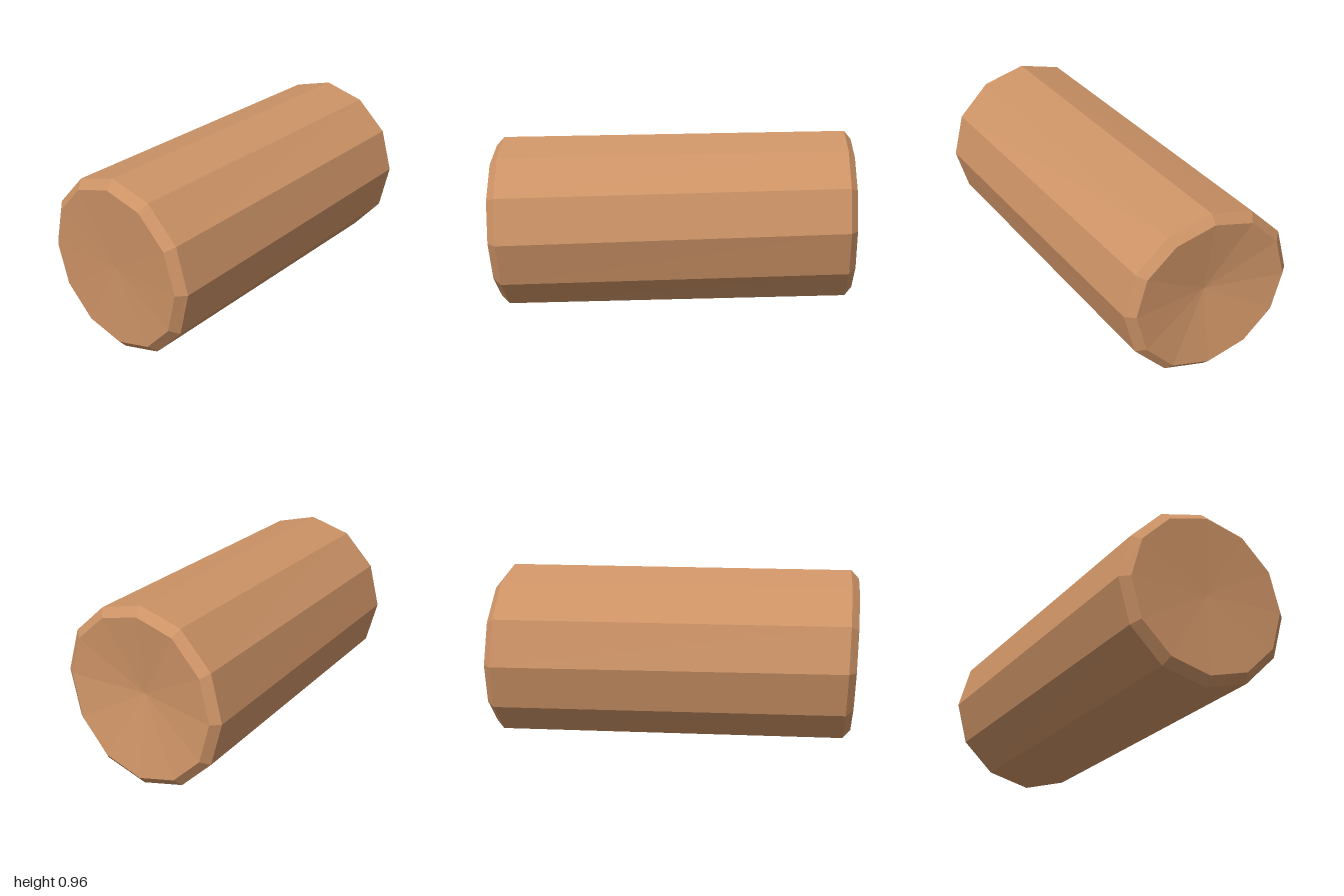
import * as THREE from 'three';

const SIDES = 12;

// A twelve-sided cross-section on a slanted plane, starting at the top and running towards +x.
// lift(nx, ny) nudges a corner up, for the slightly warped far end.
function ring(radius, cy, z, slantX, slantY, lift = () => 0) {
  return Array.from({ length: SIDES }, (_, k) => {
    const a = (k / SIDES) * Math.PI * 2;
    const nx = Math.sin(a), ny = Math.cos(a);
    return [radius * nx, cy + radius * ny + lift(nx, ny), z + slantX * nx + slantY * ny];
  });
}

// All corners at one point, for the middle of an end face
const point = (x, y, z) => Array.from({ length: SIDES }, () => [x, y, z]);

// Flat facets between two sections, the first one nearer the front
function band(front, back, name, material) {
  const pos = [];
  const same = (p, q) => p.every((v, i) => v === q[i]);
  const tri = (a, b, c) => {
    if (!same(a, b) && !same(b, c) && !same(a, c)) pos.push(...a, ...b, ...c);
  };
  for (let k = 0; k < SIDES; k++) {
    const n = (k + 1) % SIDES;
    tri(front[k], front[n], back[k]);
    tri(front[n], back[n], back[k]);
  }
  const geometry = new THREE.BufferGeometry();
  geometry.setAttribute('position', new THREE.Float32BufferAttribute(pos, 3));
  geometry.computeVertexNormals();
  const mesh = new THREE.Mesh(geometry, material);
  mesh.name = name;
  return mesh;
}

export function createModel() {
  const group = new THREE.Group();
  group.name = 'log';
  const wood = new THREE.MeshStandardMaterial({ color: 0xcd9366 });
  wood.name = 'tan wood';

  const frontLift = (nx) => 0.006 * nx;
  const backLift = (nx, ny) => (1 - ny * ny) * (0.01 + 0.022 * nx);

  // Sections from front to back
  const frontCentre = point(0, 0.47, 0.948);
  const frontInner = ring(0.425, 0.47, 0.968, 0.028, 0.015, frontLift);
  const frontOuter = ring(0.471, 0.471, 0.925, 0.028, 0.015, frontLift);
  const backOuter = ring(0.471, 0.491, -0.924, 0.037, 0.01, backLift);
  const backInner = ring(0.425, 0.491, -0.964, 0.036, 0.011, backLift);
  const backCentre = point(0, 0.5, -0.9);

  // Dished ends, bevelled rims and the trunk
  group.add(
    band(frontCentre, frontInner, 'frontEnd', wood),
    band(frontInner, frontOuter, 'frontBevel', wood),
    band(frontOuter, backOuter, 'trunk', wood),
    band(backOuter, backInner, 'backBevel', wood),
    band(backInner, backCentre, 'backEnd', wood),
  );
  return group;
}
